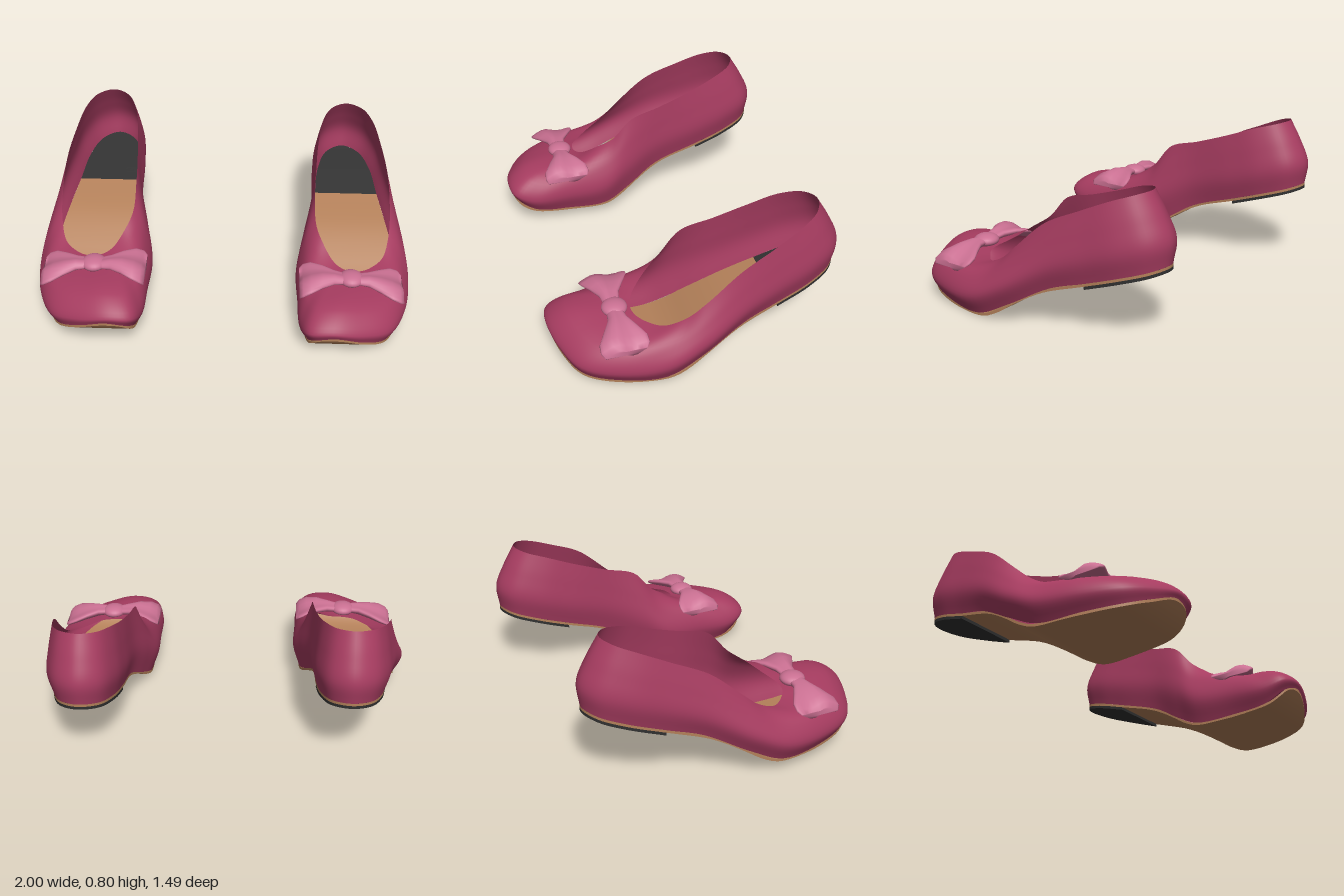
import * as THREE from 'three';
import { mergeVertices } from 'three/addons/utils/BufferGeometryUtils.js';

const V = (x, y, z) => new THREE.Vector3(x, y, z);
const material = (name, color) => {
  const m = new THREE.MeshStandardMaterial({ color, side: THREE.DoubleSide });
  m.name = name;
  return m;
};

// widest outline [x, z], heel -> inner side -> toe -> outer side
const OUTLINE = [
  [.67, -.745], [.56, -.695], [.5, -.56], [.48, -.385], [.47, -.13], [.425, .05], [.39, .2],
  [.395, .42], [.405, .62], [.45, .725], [.57, .747], [.73, .71], [.87, .63], [.96, .45],
  [1, .22], [.985, .03], [.93, -.2], [.89, -.385], [.85, -.57], [.78, -.695]];
// edge of the foot opening [x, y, z], in the same order
const COLLAR = [
  [.67, .74, -.63], [.585, .73, -.59], [.53, .7, -.48], [.505, .645, -.33], [.49, .585, -.15],
  [.48, .535, .02], [.49, .415, .13], [.53, .35, .22], [.58, .295, .29], [.62, .275, .32],
  [.67, .265, .335], [.73, .26, .325], [.79, .255, .28], [.85, .265, .21], [.885, .32, .1],
  [.895, .405, 0], [.885, .55, -.17], [.855, .635, -.35], [.815, .7, -.5], [.76, .73, -.59]];
// underside height along z, as [z, y]
const SOLE = new THREE.SplineCurve([
  [-.8, .41], [-.72, .378], [-.55, .325], [-.38, .27], [-.2, .215], [-.1, .17], [0, .11],
  [.1, .045], [.2, .006], [.35, .004], [.5, .012], [.62, .03], [.69, .07], [.735, .125], [.77, .18],
].map(p => new THREE.Vector2(...p))).getPoints(200);

function soleY(z) {
  let i = 1;
  while (i < SOLE.length - 1 && SOLE[i].x < z) i++;
  const a = SOLE[i - 1], b = SOLE[i];
  return a.y + (b.y - a.y) * (z - a.x) / (b.x - a.x);
}

// skin over rows of points; flip turns the faces over
function skin(rows, flip) {
  const n = rows[0].length, index = [];
  for (let r = 0; r < rows.length - 1; r++) {
    for (let i = 0; i < n - 1; i++) {
      const a = r * n + i, b = a + 1, c = b + n, d = a + n;
      index.push(...(flip ? [a, c, b, a, d, c] : [a, b, c, a, c, d]));
    }
  }
  const g = new THREE.BufferGeometry();
  g.setAttribute('position', new THREE.Float32BufferAttribute(rows.flat().flatMap(p => [p.x, p.y, p.z]), 3));
  g.setIndex(index);
  const merged = mergeVertices(g, 1e-5);
  merged.computeVertexNormals();
  return merged;
}

const N = 120, WELT = .014;
const smoothRing = pts => {
  const curve = new THREE.CatmullRomCurve3(pts, true);
  return Array.from({ length: N + 1 }, (_, i) => curve.getPoint((i % N) / N));
};

function makeShoe(side, lift, mats) {
  const shoe = new THREE.Group();
  const add = (name, rows, mat, flip = false) => {
    const placed = rows.map(row => row.map(p => V(p.x * side, p.y + lift, p.z)));
    const mesh = new THREE.Mesh(skin(placed, flip !== side < 0), mat);
    mesh.name = name;
    shoe.add(mesh);
  };

  // control rings from sole edge to collar
  const collar = COLLAR.map(p => V(...p));
  const base = OUTLINE.map(([x, z]) => V(.67 + (x - .67) * .87, soleY(z * .985) + WELT, z * .985));
  const middle = OUTLINE.map(([x, z], i) => {
    const y = soleY(z * .985);
    return V(x, y + .36 * (collar[i].y - y), z);
  });
  const shoulder = middle.map((m, i) => {
    const front = THREE.MathUtils.smoothstep(m.z, .1, .5);
    const p = m.clone().lerp(collar[i], .5 - .2 * front);
    p.y += .05 * front;
    p.x += (m.x - p.x) * .25;
    p.z += (m.z - p.z) * .15;
    return p;
  });
  const rings = [base, middle, shoulder, collar].map(smoothRing);

  // upper
  const columns = rings[0].map((_, i) => new THREE.CatmullRomCurve3(rings.map(r => r[i])).getPoints(18));
  add('upper', columns[0].map((_, k) => columns.map(c => c[k])), mats.upper);

  // crosswise sheet between the two sides of the sole outline
  const sheet = (from, to, offset) => {
    const rows = [];
    for (let k = from; k <= to; k++) {
      const a = rings[0][k], b = rings[0][N - k];
      rows.push(Array.from({ length: 13 }, (_, j) => {
        const p = a.clone().lerp(b, j / 12);
        p.y = soleY(p.z) + offset;
        return p;
      }));
    }
    return rows;
  };
  const heelEnd = N * 3 / 20, toe = N / 2;
  const at = (p, offset) => V(p.x, soleY(p.z) + offset, p.z);
  add('sole', sheet(heelEnd, toe, 0), mats.sole);
  add('insole', sheet(heelEnd, toe, WELT), mats.sole, true);
  add('heelInsole', sheet(0, heelEnd, WELT), mats.heel, true);
  add('soleEdge', [rings[0].map(p => at(p, 0)), rings[0].map(p => at(p, WELT))], mats.sole);

  // heel pad
  const pad = sheet(0, heelEnd, -.016);
  const rim = [...rings[0].slice(N - heelEnd, N), ...rings[0].slice(0, heelEnd + 1)];
  add('heelPad', pad, mats.heel);
  add('heelPadEdge', [rim.map(p => at(p, -.016)), rim.map(p => at(p, 0))], mats.heel);
  const last = pad[pad.length - 1];
  add('heelPadFront', [last, last.map(p => at(p, 0))], mats.heel);

  // bow wings: [reach, half depth, half thickness, height]
  const wing = {
    bowOuterWing: [1, [[.03, .04, .02, .28], [.09, .05, .026, .278], [.15, .085, .028, .268],
      [.21, .12, .026, .252], [.25, .122, .022, .235], [.27, .105, .012, .22], [.271, 0, 0, .22]]],
    bowInnerWing: [-1, [[.03, .04, .02, .28], [.09, .05, .026, .287], [.15, .085, .028, .29],
      [.21, .12, .025, .28], [.25, .125, .022, .262], [.268, .115, .012, .245], [.269, 0, 0, .245]]],
  };
  for (const [name, [dir, sections]] of Object.entries(wing)) {
    const rows = sections.map(([reach, depth, thick, y]) => Array.from({ length: 25 }, (_, i) => {
      const a = (i % 24) / 24 * Math.PI * 2, u = Math.cos(a);
      const fold = .012 * Math.sin(u * 4.5) * reach / .27;
      return V(.67 + dir * reach, y + thick * Math.sin(a) + fold, .42 + depth * u);
    }));
    add(name, rows, mats.bow, dir > 0);
  }

  // bow knot
  const knot = new THREE.Mesh(new THREE.SphereGeometry(1, 24, 16), mats.bow);
  knot.name = 'bowKnot';
  knot.scale.set(.065, .034, .066);
  knot.position.set(.67 * side, .28 + lift, .415);
  shoe.add(knot);
  return shoe;
}

export function createModel() {
  const mats = {
    upper: material('burgundy', 0xa63c60),
    bow: material('pink', 0xca7092),
    sole: material('tan', 0xb38059),
    heel: material('charcoal', 0x303030),
  };
  const model = new THREE.Group();
  model.name = 'shoes';
  const left = makeShoe(1, .0, mats), right = makeShoe(-1, .063, mats);
  left.name = 'leftShoe';
  right.name = 'rightShoe';
  model.add(left, right);
  return model;
}
